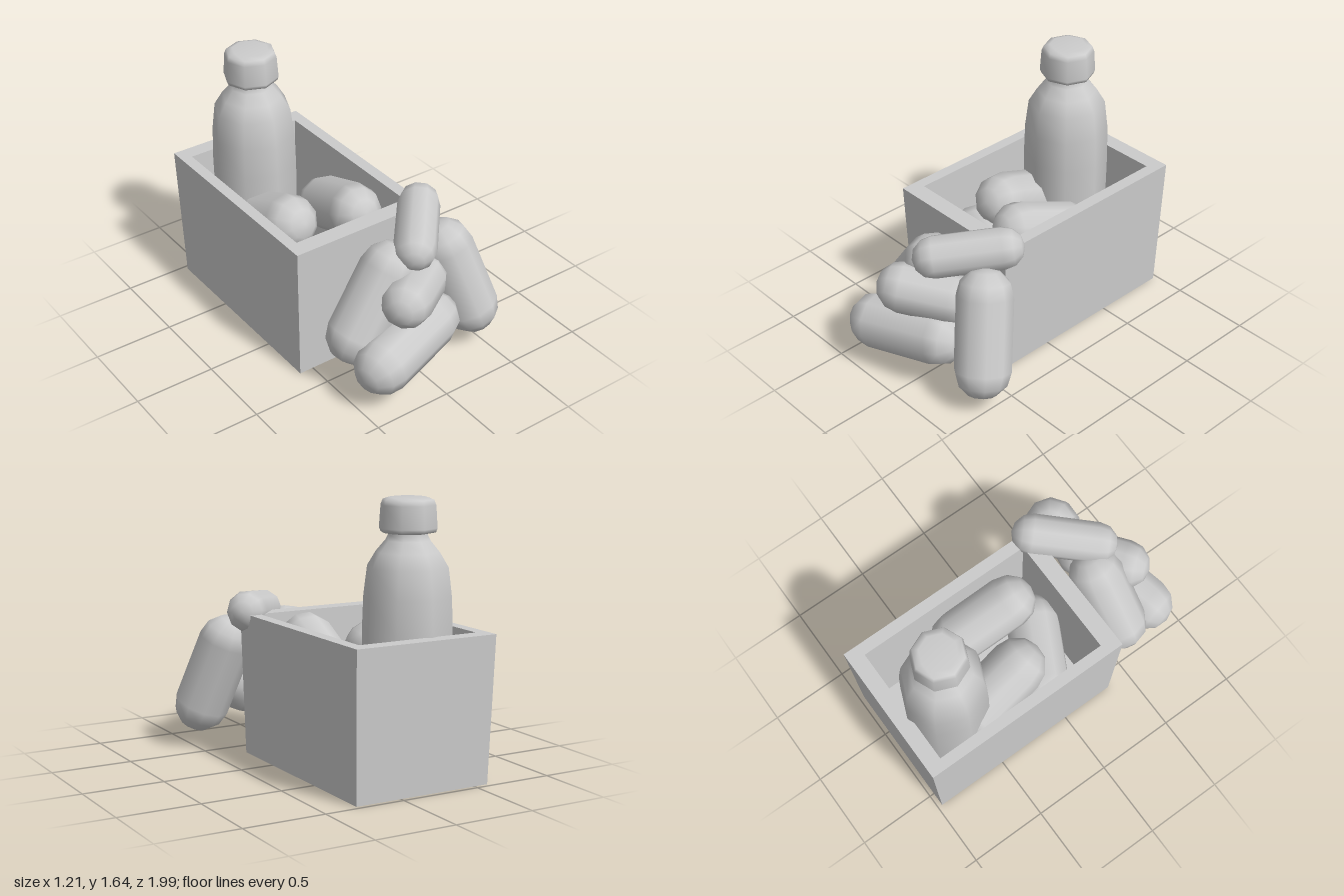
import * as THREE from 'three';

const material = new THREE.MeshStandardMaterial({ color: 0xcccccc });

function addMesh(parent, name, geometry) {
  const mesh = new THREE.Mesh(geometry, material);
  mesh.name = name;
  parent.add(mesh);
  return mesh;
}

// Open crate: rectangular rings joined from the outer base, over the rim, to the inner floor
function crateGeometry() {
  const ring = (x0, x1, z0, z1, y) =>
    [[x0, y, z1], [x1, y, z1], [x1, y, z0], [x0, y, z0]];
  const rings = [
    ring(-0.59, 0.29, -0.97, 0.345, 0),
    ring(-0.61, 0.31, -1, 0.37, 0.88),
    ring(-0.54, 0.235, -0.9, 0.26, 0.88),
    ring(-0.52, 0.215, -0.88, 0.24, 0.08),
  ];
  const points = [];
  const quad = (a, b, c, d) => points.push(...a, ...b, ...c, ...a, ...c, ...d);
  for (let i = 0; i < 3; i++) {
    for (let j = 0; j < 4; j++) {
      const k = (j + 1) % 4;
      quad(rings[i][j], rings[i][k], rings[i + 1][k], rings[i + 1][j]);
    }
  }
  quad(...rings[3]);
  quad(...[...rings[0]].reverse());
  const geometry = new THREE.BufferGeometry();
  geometry.setAttribute('position', new THREE.Float32BufferAttribute(points, 3));
  geometry.computeVertexNormals();
  return geometry;
}

// Eight-sided turned shape from [radius, height] pairs, bottom to top
const turned = (profile) =>
  new THREE.LatheGeometry(profile.map(([r, y]) => new THREE.Vector2(r, y)), 8);

// Rounded roll between two end centres
function addRoll(parent, name, from, to, radius) {
  const a = new THREE.Vector3(...from);
  const b = new THREE.Vector3(...to);
  const axis = b.clone().sub(a);
  const roll = addMesh(parent, name, new THREE.CapsuleGeometry(radius, axis.length(), 3, 10));
  roll.position.copy(a).add(b).multiplyScalar(0.5);
  roll.quaternion.setFromUnitVectors(new THREE.Vector3(0, 1, 0), axis.normalize());
}

export function createModel() {
  const model = new THREE.Group();
  model.name = 'crateWithBottleAndRolls';

  addMesh(model, 'crate', crateGeometry());

  // Bottle standing at the back of the crate
  const bottle = new THREE.Group();
  bottle.name = 'bottle';
  bottle.position.set(-0.235, 0, -0.655);
  addMesh(bottle, 'bottleBody', turned([
    [0, 0.1], [0.23, 0.1], [0.26, 0.15], [0.264, 0.88], [0.257, 1.08],
    [0.236, 1.25], [0.185, 1.335], [0.13, 1.4], [0.115, 1.43], [0.115, 1.46],
  ]));
  addMesh(bottle, 'bottleCap', turned([
    [0, 1.445], [0.125, 1.44], [0.16, 1.447], [0.169, 1.47],
    [0.16, 1.6], [0.148, 1.63], [0.11, 1.643], [0, 1.643],
  ]));
  model.add(bottle);

  // Rolls lying inside the crate
  const inside = new THREE.Group();
  inside.name = 'rollsInCrate';
  addRoll(inside, 'leftRoll', [-0.305, 0.69, -0.18], [-0.34, 0.55, -0.52], 0.178);
  addRoll(inside, 'rightRoll', [0.045, 0.745, 0.01], [0.085, 0.6, -0.345], 0.168);
  addRoll(inside, 'lowerRoll', [-0.42, 0.45, -0.07], [-0.06, 0.45, 0.12], 0.17);
  model.add(inside);

  // Rolls piled against the front of the crate
  const pile = new THREE.Group();
  pile.name = 'rollPile';
  addRoll(pile, 'topRoll', [0.01, 0.835, 0.655], [0.272, 0.887, 0.353], 0.128);
  addRoll(pile, 'uprightRoll', [0.438, 0.262, 0.67], [0.325, 0.67, 0.545], 0.172);
  addRoll(pile, 'bottomRoll', [-0.34, 0.262, 0.825], [0.1, 0.33, 0.71], 0.172);
  addRoll(pile, 'middleRoll', [-0.14, 0.6, 0.78], [0.1, 0.565, 0.61], 0.154);
  addRoll(pile, 'leaningRoll', [-0.36, 0.34, 0.585], [-0.115, 0.69, 0.565], 0.176);
  model.add(pile);

  return model;
}
